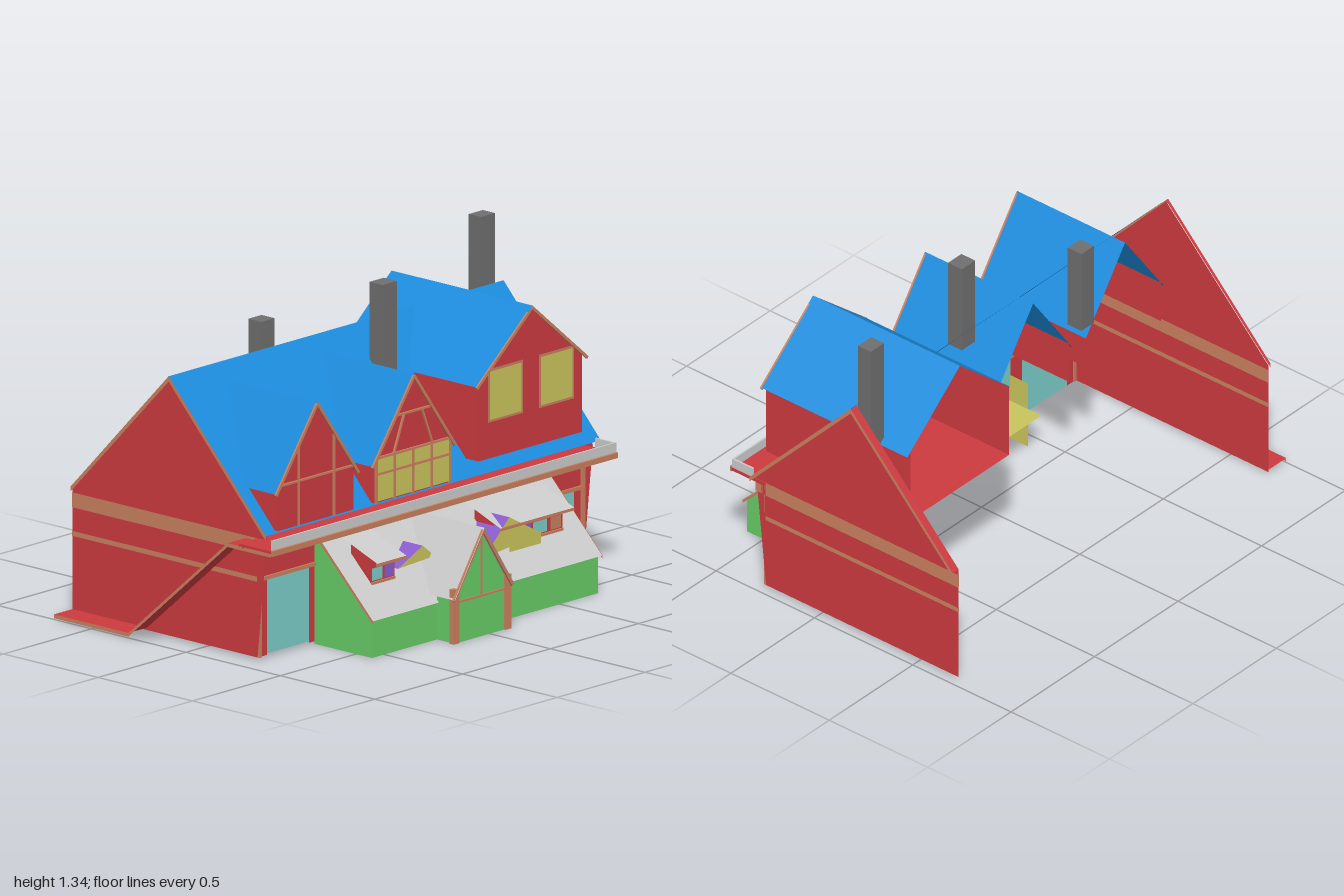
import * as THREE from 'three';

const COLORS = {
  red: 0xcc3a3f, blue: 0x1b8cdd, green: 0x66cc66, yellow: 0xc9c45c, teal: 0x7accc8,
  brown: 0xc9805f, dark: 0x6e6e6e, gray: 0xc0c0c0, purple: 0x8a5ccc, magenta: 0xb45cb4,
};
const mats = {};
const mat = (c) => (mats[c] ??= new THREE.MeshStandardMaterial({
  color: COLORS[c], side: THREE.DoubleSide, flatShading: true }));

export function createModel() {
  const root = new THREE.Group();
  let target = root;

  const part = (name, fill) => {
    const g = new THREE.Group();
    g.name = name;
    root.add(g);
    target = g;
    fill();
    target = root;
  };
  const add = (name, geo, color) => {
    const m = new THREE.Mesh(geo, mat(color));
    m.name = name;
    target.add(m);
    return m;
  };
  // box between two x, y and z limits
  const box = (name, color, x0, x1, y0, y1, z0, z1) =>
    add(name, new THREE.BoxGeometry(x1 - x0, y1 - y0, z1 - z0), color)
      .position.set((x0 + x1) / 2, (y0 + y1) / 2, (z0 + z1) / 2);
  // flat convex panel
  const panel = (name, color, ...pts) => {
    const g = new THREE.BufferGeometry();
    const v = [];
    for (let i = 1; i < pts.length - 1; i++) v.push(...pts[0], ...pts[i], ...pts[i + 1]);
    g.setAttribute('position', new THREE.Float32BufferAttribute(v, 3));
    g.computeVertexNormals();
    return add(name, g, color);
  };
  const panelX = (name, color, x, zy) => panel(name, color, ...zy.map(([z, y]) => [x, y, z]));
  const panelZ = (name, color, z, xy) => panel(name, color, ...xy.map(([x, y]) => [x, y, z]));
  const rect = (name, color, z, x0, x1, y0, y1) =>
    panelZ(name, color, z, [[x0, y0], [x1, y0], [x1, y1], [x0, y1]]);
  // strip spanning x0..x1 along a line in z, y
  const slope = (name, color, x0, x1, [za, ya], [zb, yb]) =>
    panel(name, color, [x0, ya, za], [x1, ya, za], [x1, yb, zb], [x0, yb, zb]);
  // thin trim bar between two points of a z plane
  const bar = (name, z, [xa, ya], [xb, yb], t = 0.012) => {
    const m = add(name, new THREE.BoxGeometry(Math.hypot(xb - xa, yb - ya), t, 0.008), 'brown');
    m.position.set((xa + xb) / 2, (ya + yb) / 2, z);
    m.rotation.z = Math.atan2(yb - ya, xb - xa);
  };

  // Gabled end walls with timber bands and back rakes
  const gable = [[0.28, 0.01], [0.28, 0.46], [0.33, 0.5], [-0.18, 1.05], [-0.7, 0.51], [-0.7, 0.01]];
  for (const [name, x, out] of [['leftEndWall', 0.96, 1], ['rightEndWall', -0.893, -1]]) {
    part(name, () => {
      panelX('gableWall', 'red', x, gable);
      for (const [y0, y1] of [[0.43, 0.49], [0.315, 0.335]])
        for (const o of [-0.002, 0.002])
          panelX('band', 'brown', x + o, [[0.28, y0], [0.28, y1], [-0.7, y1], [-0.7, y0]]);
      const xe = x + (out > 0 ? 0.035 : -0.012);
      slope('backRake', 'red', x, xe, [-0.18, 1.055], [-0.7, 0.515]);
      for (const [z, y] of [[0.335, 0.51], [-0.7, 0.515]])
        panelX('rakeTrim', 'brown', xe, [[-0.18, 1.057], [z, y], [z, y - 0.02], [-0.18, 1.035]]);
    });
  }

  // Main roof, front slope only
  slope('mainRoof', 'blue', -0.905, 1.0, [-0.18, 1.057], [0.335, 0.51]);

  // Ground floor front
  part('groundFloorFront', () => {
    rect('upperWall', 'red', 0.28, -0.893, 0.96, 0.32, 0.5);
    for (const [a, b] of [[-0.893, -0.84], [-0.6, -0.5], [-0.25, -0.19], [0.1, 0.2], [0.6, 0.72], [0.91, 0.96]])
      rect('wallPier', 'red', 0.28, a, b, 0.01, 0.32);
    for (const [a, b] of [[-0.84, -0.57], [-0.5, -0.25], [0.2, 0.6], [0.71, 0.91]])
      rect('shopWindow', 'teal', 0.278, a, b, 0.015, 0.32);
    for (const x of [-0.893, 0.945]) box('cornerPost', 'brown', x, x + 0.015, 0.01, 0.43, 0.275, 0.29);
    box('windowHead', 'brown', -0.88, 0.955, 0.315, 0.33, 0.275, 0.288);
    box('cornice', 'brown', -0.893, 0.96, 0.43, 0.47, 0.275, 0.335);
  });

  // Ledge round the front, with a strip falling to the ground along the side
  part('ledge', () => {
    box('frontLedge', 'red', -1, 0.965, 0.475, 0.49, 0.28, 0.452);
    box('frontLedgeTrim', 'brown', -1, 0.965, 0.47, 0.492, 0.45, 0.46);
    box('parapet', 'gray', -0.99, 0.965, 0.49, 0.53, 0.442, 0.45);
    box('parapetEnd', 'gray', 0.957, 0.965, 0.49, 0.53, 0.345, 0.45);
    const path = [[0.45, 0.48], [0.22, 0.48], [-0.305, 0.02], [-0.7, 0.02]];
    for (let i = 0; i < 3; i++) {
      const [a, b] = [path[i], path[i + 1]];
      slope('sideStrip', 'red', -1, -0.893, a, b);
      panelX('sideStripTrim', 'brown', -1, [a, b, [b[0], b[1] - 0.015], [a[0], a[1] - 0.015]]);
    }
  });

  // Dormers: open at the back, running through the main roof
  const dormer = (name, cx, w, y0, ye, yr, zf, zb, fill) => part(name, () => {
    const lo = cx - w, hi = cx + w;
    panelZ('front', 'red', zf, [[lo, y0], [hi, y0], [hi, ye], [cx, yr - 0.01], [lo, ye]]);
    for (const s of [-1, 1]) {
      panelX('cheek', 'red', cx + s * w, [[zf, y0], [zf, ye], [zb, ye], [zb, y0]]);
      const k = 0.02, xe = cx + s * (w + k), yl = ye - k * (yr - ye) / w;
      panel('roofSlope', 'blue', [cx, yr, zf + 0.013], [cx, yr, zb], [xe, yl, zb], [xe, yl, zf + 0.013]);
      bar('rake', zf + 0.009, [cx, yr - 0.008], [xe, yl - 0.006]);
    }
    fill(lo, hi, zf + 0.004);
  });
  dormer('rightDormer', -0.63, 0.215, 0.52, 0.7, 1.0, 0.342, -0.195, (lo, hi, z) => {
    bar('rail', z, [lo, 0.7], [hi, 0.7], 0.008);
    for (const x of [-0.73, -0.53]) bar('stud', z, [x, 0.52], [x, 0.85], 0.008);
  });
  dormer('middleDormer', -0.08, 0.215, 0.52, 0.7, 1.0, 0.342, -0.195, (lo, hi, z) => {
    rect('window', 'yellow', z - 0.001, lo + 0.01, hi - 0.005, 0.525, 0.695);
    for (const y of [0.7, 0.635]) bar('rail', z, [lo, y], [hi, y], 0.009);
    for (let i = 0; i <= 4; i++) {
      const x = lo + 0.006 + i * (hi - lo - 0.012) / 4;
      bar('mullion', z, [x, 0.52], [x, 0.7], 0.009);
    }
    for (const s of [-1, 1]) bar('brace', z, [-0.08 + s * 0.11, 0.7], [-0.08 + s * 0.05, 0.85], 0.008);
    bar('collar', z, [-0.185, 0.85], [0.025, 0.85], 0.008);
  });
  dormer('leftDormer', 0.588, 0.295, 0.57, 0.89, 1.14, 0.345, -0.39, (lo, hi, z) => {
    slope('floor', 'red', lo, hi, [z - 0.004, 0.57], [-0.39, 0.57]);
    for (const x of [0.355, 0.645]) {
      rect('windowFrame', 'brown', z - 0.002, x - 0.01, x + 0.19, 0.715, 0.93);
      rect('window', 'yellow', z, x, x + 0.18, 0.725, 0.92);
    }
  });

  // Chimneys
  part('chimneys', () => {
    box('chimney', 'dark', -0.355, -0.28, 0.8, 1.16, -0.27, -0.2);
    box('chimney', 'dark', 0.12, 0.2, 0.87, 1.25, -0.07, 0);
    box('chimney', 'dark', 0.877, 0.957, 0.87, 1.335, -0.25, -0.185);
  });

  // Lean-to bay
  part('bay', () => {
    for (const [a, b] of [[-0.57, -0.2], [0.1, 0.715]]) rect('frontWall', 'green', 0.585, a, b, 0, 0.155);
    for (const x of [-0.57, 0.715])
      panelX('sideWall', 'green', x, [[0.28, 0], [0.585, 0], [0.585, 0.15], [0.31, 0.43], [0.28, 0.43]]);
    slope('roof', 'gray', -0.575, 0.73, [0.595, 0.15], [0.3, 0.44]);
    for (const x of [-0.576, 0.731])
      panelX('roofTrim', 'brown', x, [[0.595, 0.152], [0.3, 0.442], [0.3, 0.425], [0.595, 0.137]]);
    for (const x of [-0.5, -0.33, 0.2, 0.4]) rect('innerPanel', 'magenta', 0.578, x, x + 0.13, 0.03, 0.12);
  });

  // Shed dormers on the bay roof
  const shed = (name, x0, x1, panes) => part(name, () => {
    slope('roof', 'gray', x0, x1, [0.53, 0.35], [0.33, 0.425]);
    box('eaveTrim', 'brown', x0, x1, 0.338, 0.35, 0.522, 0.53);
    const a = x0 + 0.012, b = x1 - 0.02;
    rect('face', 'red', 0.485, a, b, 0.26, 0.36);
    for (const x of [a, b]) panelX('cheek', 'red', x, [[0.485, 0.26], [0.485, 0.365], [0.38, 0.4], [0.38, 0.36]]);
    for (const [c, p, q] of panes) rect('pane', c, 0.488, p, q, 0.27, 0.32);
    box('sill', 'brown', a, b, 0.255, 0.265, 0.48, 0.492);
  });
  shed('rightShedDormer', -0.48, -0.315, [['teal', -0.465, -0.405], ['purple', -0.395, -0.34]]);
  shed('leftShedDormer', 0.22, 0.64, [['purple', 0.38, 0.44], ['teal', 0.45, 0.53], ['brown', 0.55, 0.61]]);

  // Small gablets on the bay roof
  const gablet = (name, [xl, yl], [xm, ym], [xr, yr], z) => part(name, () => {
    panelZ('face', 'yellow', z, [[xl, yl], [xr, yr], [xm, ym]]);
    const zb = 0.33;
    panel('slopeA', 'purple', [xl, yl, z], [xm, ym, z], [xm, ym, zb], [xl, yl, zb]);
    panel('slopeB', 'purple', [xr, yr, z], [xm, ym, z], [xm, ym, zb], [xr, yr, zb]);
  });
  gablet('leftGablet', [0.125, 0.25], [0.27, 0.386], [0.455, 0.285], 0.53);
  gablet('rightGablet', [-0.32, 0.29], [-0.18, 0.355], [-0.11, 0.3], 0.49);
  rect('gabletBase', 'yellow', 0.531, 0.27, 0.45, 0.245, 0.295);

  // Entrance porch
  part('porch', () => {
    const c = -0.05;
    panelZ('front', 'green', 0.678, [[-0.2, 0], [0.1, 0], [0.1, 0.19], [c, 0.425], [-0.2, 0.19]]);
    for (const s of [-1, 1]) {
      panelX('sideWall', 'green', c + s * 0.15, [[0.585, 0], [0.678, 0], [0.678, 0.19], [0.585, 0.19]]);
      const xe = c + s * 0.168;
      panel('roofSlope', 'gray', [c, 0.44, 0.697], [c, 0.44, 0.3], [xe, 0.18, 0.56], [xe, 0.18, 0.697]);
      bar('rake', 0.69, [c, 0.43], [xe, 0.175], 0.014);
      const px = c + s * 0.148;
      box('post', 'brown', px - 0.016, px + 0.016, 0, 0.22, 0.665, 0.686);
    }
    bar('rail', 0.68, [-0.19, 0.165], [0.09, 0.165], 0.008);
    bar('stud', 0.68, [c, 0.165], [c, 0.42], 0.006);
  });

  // Counter inside the open back
  part('counter', () => {
    slope('top', 'yellow', -0.43, 0.47, [0.22, 0.18], [0.06, 0.18]);
    for (const x of [-0.43, 0.47])
      panelX('end', 'yellow', x, [[0.22, 0.005], [0.22, 0.3], [0.13, 0.3], [0.13, 0.005]]);
  });
  return root;
}
